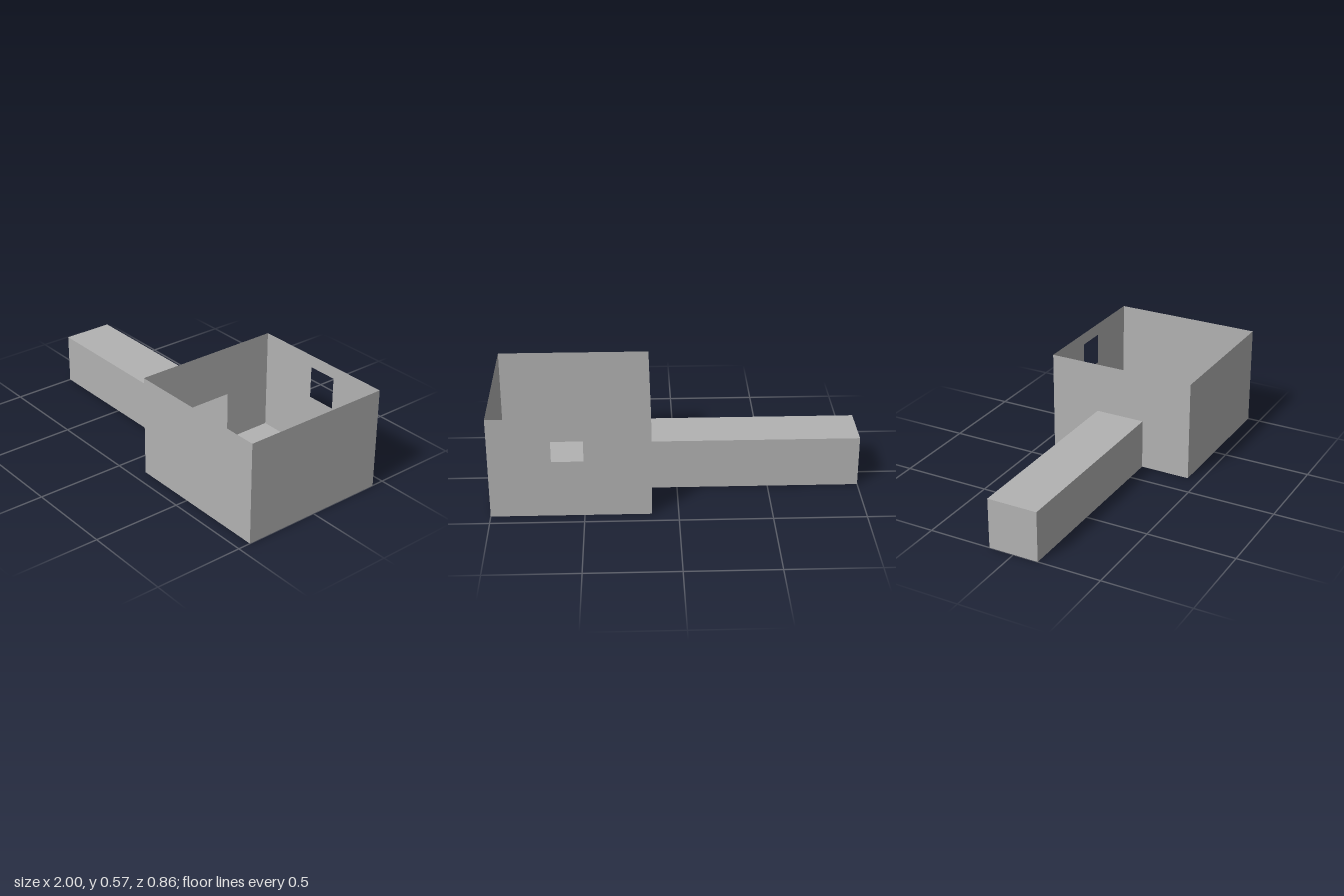
import * as THREE from 'three';

const U = 2 / 7;           // one grid module
const R = 1.5 * U;         // half depth of the room
const H = 2 * U;           // room height
const C = 0.5 * U;         // half width of the corridor
const DOOR_X = 1 - 3 * U;  // wall between corridor and room

const rect = (Kind, a0, b0, a1, b1) =>
  new Kind([[a0, b0], [a1, b0], [a1, b1], [a0, b1]].map(([a, b]) => new THREE.Vector2(a, b)));

export function createModel() {
  const plaster = new THREE.MeshStandardMaterial({ color: 0xb2b2b2, side: THREE.DoubleSide });
  plaster.name = 'grey plaster';

  // Thin rectangular sheet, optionally with an opening, lying across the given axis
  function sheet(name, axis, at, bounds, opening) {
    const shape = rect(THREE.Shape, ...bounds);
    if (opening) shape.holes.push(rect(THREE.Path, ...opening));
    const geometry = new THREE.ShapeGeometry(shape);
    if (axis === 'x') geometry.rotateY(-Math.PI / 2); // bounds are z, y
    if (axis === 'y') geometry.rotateX(Math.PI / 2);  // bounds are x, z
    const mesh = new THREE.Mesh(geometry, plaster);
    mesh.name = name;
    mesh.position[axis] = at;
    return mesh;
  }

  // Open-topped room with a window at the back and a doorway to the corridor
  const room = new THREE.Group();
  room.name = 'room';
  const doorShape = new THREE.Shape([
    [-R, 0], [-C, 0], [-C, U], [C, U], [C, 0], [R, 0], [R, H], [-R, H],
  ].map(([z, y]) => new THREE.Vector2(z, y)));
  const doorWall = new THREE.Mesh(new THREE.ShapeGeometry(doorShape).rotateY(-Math.PI / 2), plaster);
  doorWall.name = 'doorwayWall';
  doorWall.position.x = DOOR_X;
  room.add(
    doorWall,
    sheet('roomFloor', 'y', 0, [DOOR_X, -R, 1, R]),
    sheet('frontWall', 'z', R, [DOOR_X, 0, 1, H]),
    sheet('windowWall', 'z', -R, [DOOR_X, 0, 1, H], [0.498, 0.322, 0.668, 0.502]),
    sheet('endWall', 'x', 1, [-R, 0, R, H]),
  );

  // Closed hollow corridor opening into the room
  const corridor = new THREE.Group();
  corridor.name = 'corridor';
  corridor.add(
    sheet('corridorFloor', 'y', 0, [-1, -C, DOOR_X, C]),
    sheet('corridorRoof', 'y', U, [-1, -C, DOOR_X, C]),
    sheet('corridorFrontWall', 'z', C, [-1, 0, DOOR_X, U]),
    sheet('corridorBackWall', 'z', -C, [-1, 0, DOOR_X, U]),
    sheet('corridorEndWall', 'x', -1, [-C, 0, C, U]),
  );

  const model = new THREE.Group();
  model.name = 'roomWithCorridor';
  model.add(room, corridor);
  return model;
}
